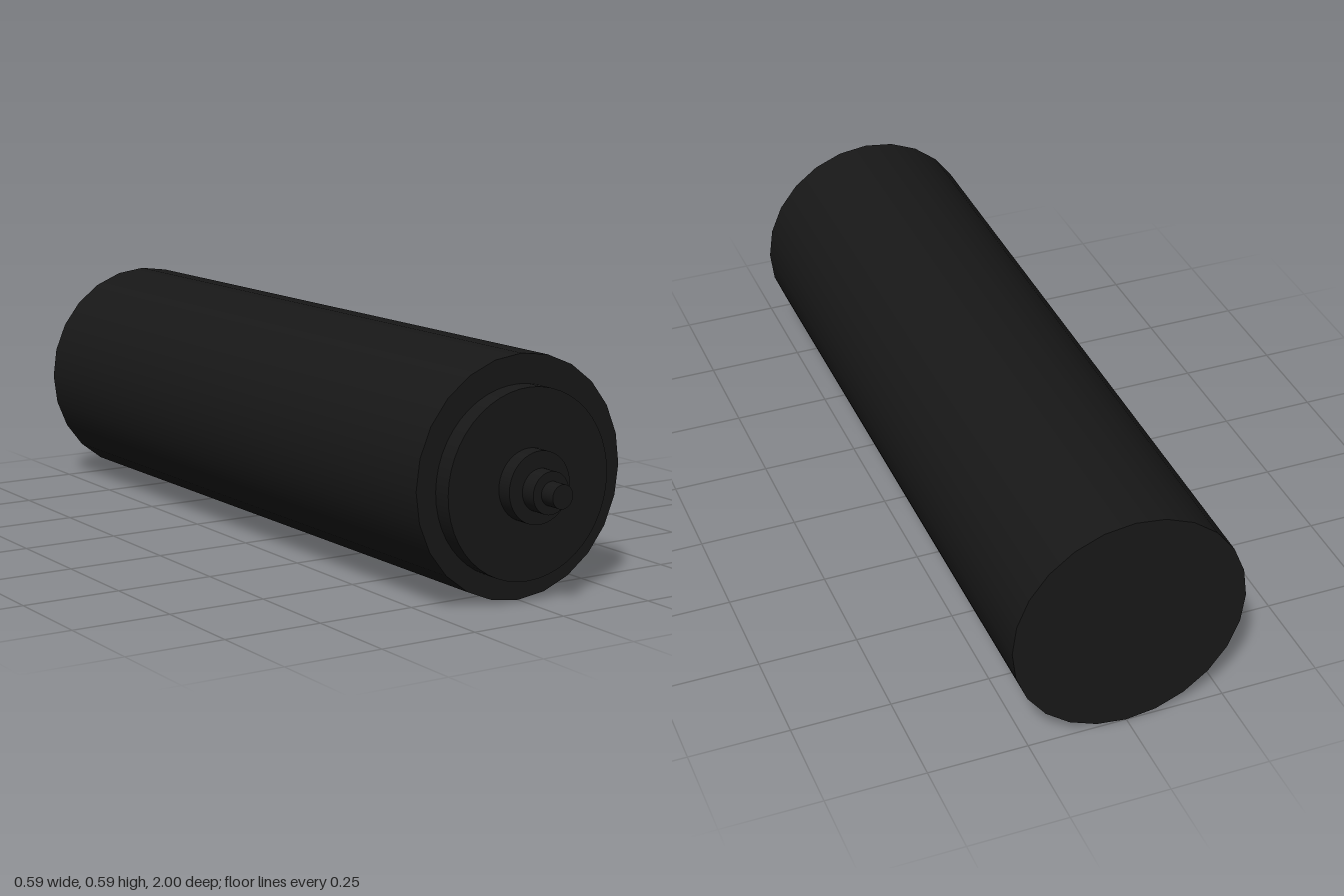
import * as THREE from 'three';

const material = new THREE.MeshStandardMaterial({ color: 0x181818 });

// Capped cylinder lying along z, from zBack to zFront
function disc(name, x, y, radius, zBack, zFront, sides) {
  const geometry = new THREE.CylinderGeometry(radius, radius, zFront - zBack, sides);
  geometry.rotateX(Math.PI / 2);
  const mesh = new THREE.Mesh(geometry, material);
  mesh.name = name;
  mesh.position.set(x, y, (zBack + zFront) / 2);
  return mesh;
}

export function createModel() {
  const group = new THREE.Group();
  group.name = 'steppedCylinder';
  group.add(
    // Long main barrel
    disc('barrel', 0, 0.293, 0.293, -1, 0.828, 24),
    // Slightly off-centre steps narrowing to the front tip
    disc('frontCollar', -0.01, 0.286, 0.229, 0.828, 0.877, 48),
    disc('noseBase', -0.01, 0.286, 0.087, 0.877, 0.917, 48),
    disc('noseMiddle', -0.009, 0.281, 0.051, 0.917, 0.958, 48),
    disc('noseTip', -0.008, 0.28, 0.029, 0.958, 1, 48),
  );
  return group;
}
